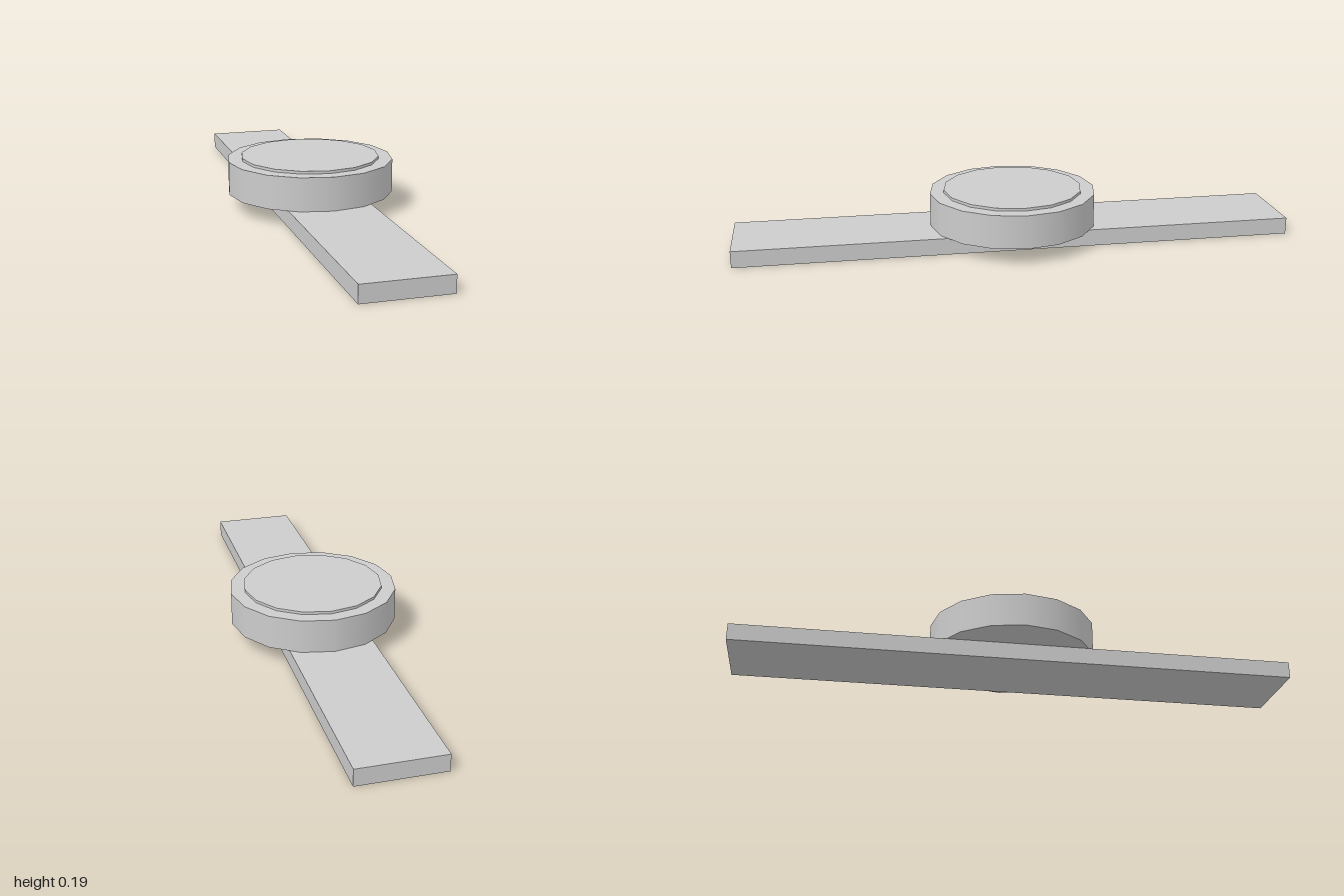
import * as THREE from 'three';

export function createModel() {
  const model = new THREE.Group();
  const grey = new THREE.MeshStandardMaterial({ color: 0xcccccc });
  grey.name = 'light grey';

  const add = (name, geometry, y) => {
    const mesh = new THREE.Mesh(geometry, grey);
    mesh.name = name;
    mesh.position.y = y;
    model.add(mesh);
  };

  // Flat strap lying along z
  add('strap', new THREE.BoxGeometry(0.3, 0.06, 2), 0.03);
  // Round case on the strap, smooth sides
  add('case', new THREE.CylinderGeometry(0.3, 0.3, 0.12, 16), 0.12);
  // Thin raised face on the case
  add('face', new THREE.CylinderGeometry(0.25, 0.25, 0.01, 16), 0.185);

  return model;
}
